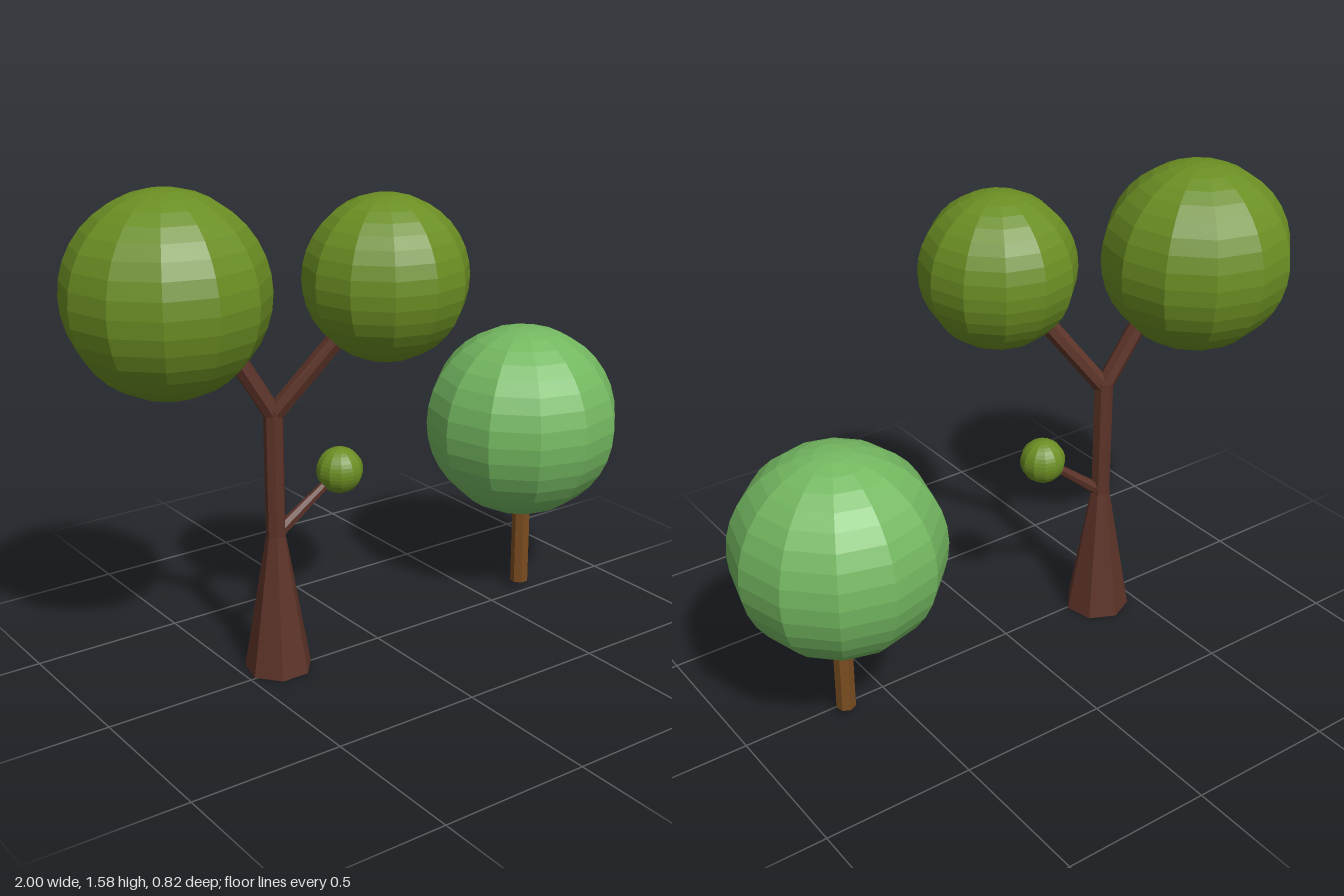
import * as THREE from 'three';

const mat = (color) => new THREE.MeshStandardMaterial({ color, flatShading: true });

export function createModel() {
  const group = new THREE.Group();
  const bark = mat(0x5c3328);
  const lightBark = mat(0x7a4c20);
  const olive = mat(0x6b8e23);
  const green = mat(0x74b861);

  const add = (parent, name, geometry, material) => {
    const mesh = new THREE.Mesh(geometry, material);
    mesh.name = name;
    parent.add(mesh);
    return mesh;
  };

  // Faceted ball of leaves
  const crown = (parent, name, position, radius, material) =>
    add(parent, name, new THREE.SphereGeometry(radius, 12, 18), material).position.set(...position);

  // Seven-sided tapered limb between two points
  const limb = (parent, name, from, to, r0, r1, material) => {
    const a = new THREE.Vector3(...from);
    const b = new THREE.Vector3(...to);
    const dir = b.clone().sub(a);
    const geometry = new THREE.CylinderGeometry(r1, r0, dir.length(), 7);
    geometry.rotateY(Math.PI);
    const mesh = add(parent, name, geometry, material);
    mesh.position.copy(a).lerp(b, 0.5);
    mesh.quaternion.setFromUnitVectors(new THREE.Vector3(0, 1, 0), dir.normalize());
  };

  // Tall forked tree
  const tall = new THREE.Group();
  tall.name = 'forkedTree';
  group.add(tall);
  const x = -0.375, z = -0.03;
  limb(tall, 'trunkBase', [x, 0, z], [x, 0.46, z], 0.11, 0.032, bark);
  limb(tall, 'trunk', [x, 0.46, z], [x, 0.88, z], 0.032, 0.032, bark);
  limb(tall, 'rightBranch', [x, 0.86, z], [-0.60, 1.25, -0.08], 0.03, 0.03, bark);
  limb(tall, 'leftBranch', [x, 0.86, z], [-0.10, 1.26, 0.15], 0.03, 0.03, bark);
  limb(tall, 'twig', [x, 0.46, z], [-0.15, 0.64, 0], 0.022, 0.013, bark);
  crown(tall, 'rightCrown', [-0.69, 1.272, -0.097], 0.312, olive);
  crown(tall, 'leftCrown', [-0.08, 1.287, 0.152], 0.255, olive);
  crown(tall, 'twigCrown', [-0.15, 0.64, 0], 0.075, olive);

  // Small round tree
  const small = new THREE.Group();
  small.name = 'roundTree';
  group.add(small);
  limb(small, 'smallTrunk', [0.66, 0.025, -0.038], [0.66, 0.5, -0.038], 0.032, 0.032, lightBark);
  crown(small, 'smallCrown', [0.662, 0.633, -0.055], 0.335, green);

  return group;
}
